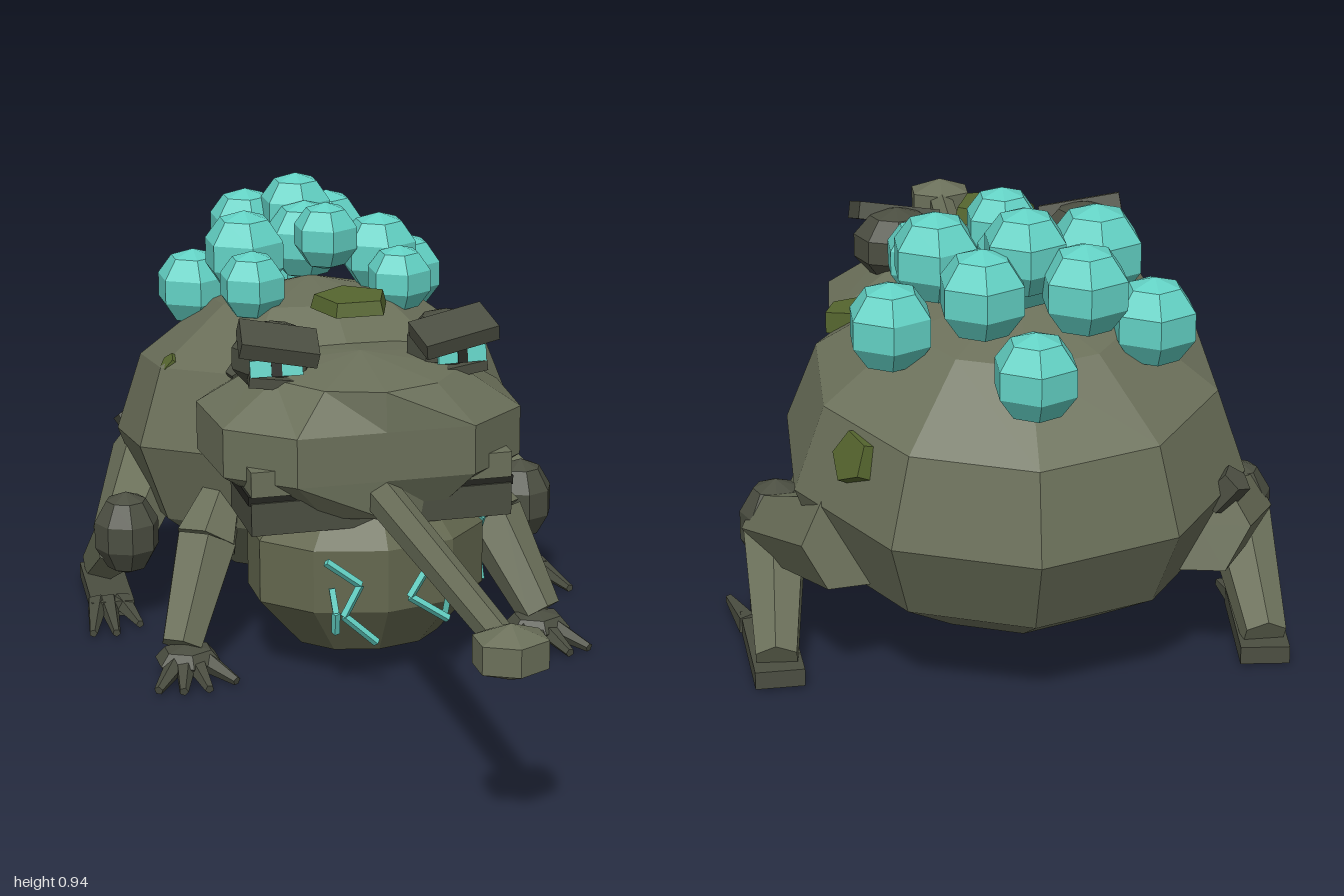
import * as THREE from 'three';

const mat = (name, color) => {
  const m = new THREE.MeshStandardMaterial({ color, flatShading: true });
  m.name = name;
  return m;
};

export function createModel() {
  const model = new THREE.Group();
  model.name = 'toad';
  const skin = mat('skin', 0x6b705a);
  const darkSkin = mat('darkSkin', 0x4b4e41);
  const throatSkin = mat('throatSkin', 0x64684f);
  const crystal = mat('crystal', 0x63d2c5);
  const moss = mat('moss', 0x56662f);
  const black = mat('mouthDark', 0x23241f);
  const UP = new THREE.Vector3(0, 1, 0);
  const V = (p) => new THREE.Vector3(...p);

  const add = (name, geo, material, pos = [0, 0, 0], rot = [0, 0, 0], parent = model) => {
    const mesh = new THREE.Mesh(geo, material);
    mesh.name = name;
    mesh.position.set(...pos);
    mesh.rotation.set(...rot);
    parent.add(mesh);
    return mesh;
  };
  // faceted ellipsoid with a corner facing front and back
  const ball = (rx, ry, rz, w, h) =>
    new THREE.SphereGeometry(1, w, h).rotateY(Math.PI / 2).scale(rx, ry, rz);
  // tapered limb between two points
  const limb = (name, a, b, ra, rb, material, sides = 6, parent = model) => {
    const A = V(a), B = V(b), d = B.clone().sub(A);
    const mesh = add(name, new THREE.CylinderGeometry(rb, ra, d.length(), sides), material, [0, 0, 0], [0, 0, 0], parent);
    mesh.position.copy(A).add(B).multiplyScalar(0.5);
    mesh.quaternion.setFromUnitVectors(UP, d.normalize());
    return mesh;
  };

  // body, tilted down at the rear
  add('body', ball(0.45, 0.335, 0.45, 10, 6), skin, [0, 0.4, -0.55], [-0.14, 0, 0]);

  // head: a squat ball with a flattened muzzle, wider toward the back
  const head = ball(0.365, 0.17, 0.357, 10, 5);
  const hp = head.attributes.position;
  for (let i = 0; i < hp.count; i++) {
    const z = hp.getZ(i);
    hp.setX(i, hp.getX(i) * (1 - 0.25 * z * (z > 0 ? 1 : 0.4)));
    hp.setZ(i, Math.min(z, 0.215));
  }
  add('head', head, skin, [0, 0.51, -0.15]);

  // jaws
  add('upperLip', new THREE.BoxGeometry(0.56, 0.055, 0.2), skin, [0, 0.461, -0.068]);
  add('mouthGap', new THREE.BoxGeometry(0.57, 0.02, 0.19), black, [0, 0.425, -0.068]);
  add('lowerJaw', new THREE.BoxGeometry(0.56, 0.07, 0.2), darkSkin, [0, 0.385, -0.068]);
  add('throat', ball(0.27, 0.22, 0.2, 10, 5), throatSkin, [0, 0.24, -0.115]);

  // tongue
  limb('tongue', [0, 0.415, -0.05], [0, 0.412, 0.9], 0.042, 0.03, skin);
  add('tongueTip', ball(0.085, 0.055, 0.075, 6, 3), skin, [0, 0.41, 0.925]);

  for (const s of [1, -1]) {
    const side = new THREE.Group();
    side.name = s > 0 ? 'leftSide' : 'rightSide';
    model.add(side);
    const P = (x, y, z) => [s * x, y, z];

    // eye with heavy brow
    add('eyeSocket', ball(0.09, 0.075, 0.085, 8, 5), darkSkin, P(0.19, 0.68, -0.16), [0, 0, 0], side);
    add('iris', new THREE.BoxGeometry(0.11, 0.035, 0.009), crystal, P(0.2, 0.677, -0.074), [-0.2, s * 0.15, 0], side);
    add('pupil', new THREE.BoxGeometry(0.022, 0.034, 0.008), black, P(0.2, 0.677, -0.071), [-0.2, s * 0.15, 0], side);
    add('brow', new THREE.BoxGeometry(0.165, 0.035, 0.1), darkSkin, P(0.19, 0.722, -0.1), [0.3, s * 0.15, s * 0.14], side);
    add('lowerLid', new THREE.BoxGeometry(0.13, 0.022, 0.05), darkSkin, P(0.19, 0.642, -0.09), [0, s * 0.15, s * 0.1], side);

    // front leg and hand
    limb('upperArm', P(0.27, 0.34, -0.3), P(0.32, 0.25, -0.24), 0.045, 0.072, skin, 6, side);
    limb('foreArm', P(0.32, 0.25, -0.24), P(0.4, 0.06, -0.13), 0.072, 0.048, skin, 6, side);
    add('frontPalm', ball(0.075, 0.035, 0.065, 6, 4), darkSkin, P(0.39, 0.034, -0.115), [0, 0, 0], side);
    for (const [x, z] of [[0.305, -0.02], [0.37, 0.01], [0.425, 0.01], [0.475, -0.01]])
      limb('frontFinger', P(0.385 + (x - 0.385) * 0.35, 0.034, -0.1), P(x, 0.012, z), 0.024, 0.01, darkSkin, 5, side);

    // hind leg folded back on itself
    limb('thigh', P(0.33, 0.3, -0.75), P(0.46, 0.21, -0.46), 0.1, 0.07, skin, 6, side);
    add('knee', ball(0.075, 0.095, 0.075, 8, 5), darkSkin, P(0.455, 0.21, -0.455), [0, 0, 0], side);
    limb('shin', P(0.46, 0.19, -0.47), P(0.47, 0.045, -0.72), 0.068, 0.045, skin, 6, side);
    add('hindFoot', new THREE.BoxGeometry(0.095, 0.035, 0.27), darkSkin, P(0.475, 0.021, -0.62), [0, s * 0.07, 0], side);
    for (const [x, z] of [[0.44, -0.4], [0.5, -0.36], [0.55, -0.37]])
      limb('hindToe', P(0.485 + (x - 0.49) * 0.5, 0.024, -0.52), P(x, 0.012, z), 0.024, 0.009, darkSkin, 5, side);
  }

  // crystal cluster on the back: x, y, z, radius
  const orbs = [
    [0, 0.67, -0.895, 0.085], [-0.1, 0.8, -0.805, 0.088], [0.085, 0.79, -0.785, 0.088],
    [0, 0.85, -0.73, 0.085], [-0.245, 0.695, -0.7, 0.087], [0.245, 0.7, -0.69, 0.087],
    [-0.152, 0.795, -0.585, 0.095], [0, 0.8, -0.645, 0.09], [0.148, 0.785, -0.555, 0.09],
    [0.02, 0.835, -0.53, 0.076], [-0.165, 0.755, -0.45, 0.077], [0.165, 0.75, -0.445, 0.075],
  ];
  for (const [x, y, z, r] of orbs) add('crystalOrb', ball(r, r, r, 6, 5), crystal, [x, y, z]);

  // glowing zigzag veins around the throat
  const vein = (pts, r = 0.009) => {
    for (let i = 1; i < pts.length; i++) limb('throatVein', pts[i - 1], pts[i], r, r, crystal, 4);
  };
  vein([[-0.138, 0.303, 0.095], [-0.065, 0.246, 0.095], [-0.1, 0.18, 0.095], [-0.03, 0.115, 0.095]]);
  vein([[0.015, 0.35, 0.095], [0.08, 0.272, 0.095], [0.042, 0.21, 0.095], [0.125, 0.153, 0.095]]);
  vein([[0.25, 0.315, -0.075], [0.25, 0.245, -0.13], [0.25, 0.165, -0.085]]);
  vein([[-0.12, 0.235, 0.07], [-0.115, 0.185, 0.085], [-0.112, 0.135, 0.07]]);
  vein([[0.135, 0.25, 0.07], [0.128, 0.2, 0.085], [0.125, 0.155, 0.07]]);

  // moss patches and warts: position, facing, radius, thickness
  const patch = (name, pos, normal, r, h, material) => {
    const geo = new THREE.CylinderGeometry(r * 0.9, r, h, 5).rotateY(Math.PI);
    add(name, geo, material, pos).quaternion.setFromUnitVectors(UP, V(normal).normalize());
  };
  patch('mossPatch', [0, 0.766, -0.225], [0, 1, 0], 0.088, 0.03, moss);
  patch('mossPatch', [0.295, 0.615, -0.39], [0.15, 1, 0.05], 0.06, 0.04, moss);
  patch('mossPatch', [0.315, 0.48, -0.785], [0.8, 0.35, -0.45], 0.055, 0.045, moss);
  patch('mossPatch', [-0.345, 0.585, -0.46], [-0.75, 0.65, 0.1], 0.025, 0.03, moss);
  patch('wart', [-0.23, 0.6, -0.29], [-0.5, 0.8, 0.3], 0.025, 0.05, darkSkin);
  patch('wart', [-0.38, 0.37, -0.75], [-0.5, 0.7, -0.3], 0.035, 0.07, darkSkin);

  return model;
}
